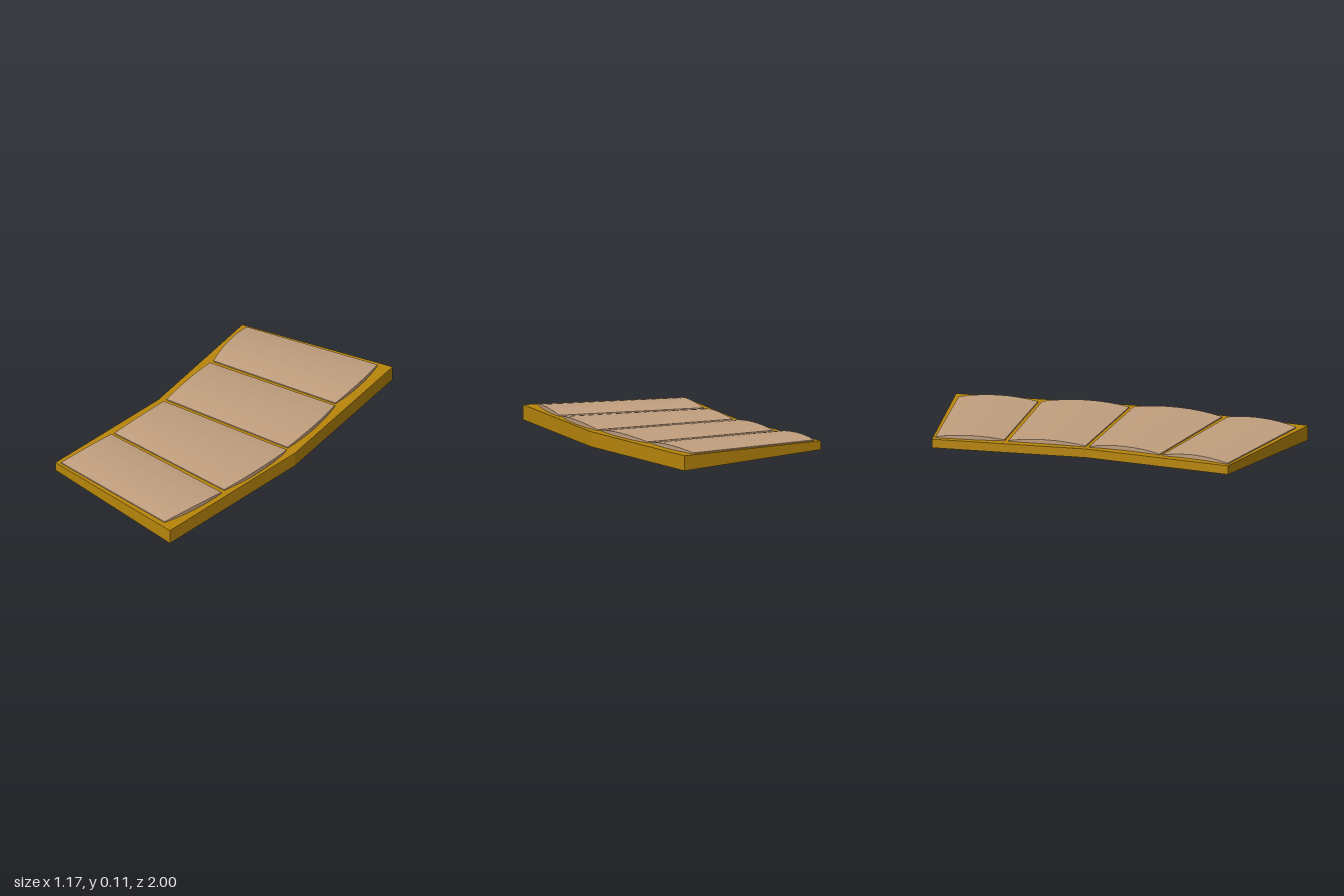
import * as THREE from 'three';

const TOP = 0.083;      // deck height
const EDGE = 0.089;     // panel height at its seams
const CROWN = 0.106;    // panel height at the middle
const SEGMENTS = 8;

const baseMaterial = new THREE.MeshStandardMaterial({ color: 0xb8860b });
const panelMaterial = new THREE.MeshStandardMaterial({ color: 0xc19f7e, flatShading: true });

// Bent slab, thinner along its -x side
function createBase() {
  const outline = [[-0.335, -0.975], [-0.385, -0.11], [-0.583, 0.705],
    [0.285, 0.998], [0.52, 0], [0.583, -1]];
  const shape = new THREE.Shape(outline.map(([x, z]) => new THREE.Vector2(x, -z)));
  const geometry = new THREE.ExtrudeGeometry(shape, { depth: TOP, bevelEnabled: false });
  geometry.rotateX(-Math.PI / 2);
  const p = geometry.attributes.position;
  for (let i = 0; i < p.count; i++) {
    if (p.getX(i) < 0 && p.getY(i) < 0.01) p.setY(i, 0.034);
  }
  geometry.computeVertexNormals();
  const mesh = new THREE.Mesh(geometry, baseMaterial);
  mesh.name = 'base';
  return mesh;
}

// Arched panel lofted from its back seam to its front seam; both sides bow in x
function createPanel({ back, front, bow }) {
  const positions = [];
  const index = [];
  const mix = THREE.MathUtils.lerp;
  for (let i = 0; i <= SEGMENTS; i++) {
    const t = i / SEGMENTS;
    const arch = 4 * t * (1 - t);
    const y = mix(EDGE, CROWN, arch);
    const [l, r] = [0, 1].map((s) => [
      mix(back[s][0], front[s][0], t) + bow[s] * arch,
      mix(back[s][1], front[s][1], t),
    ]);
    positions.push(l[0], TOP - 0.005, l[1], l[0], y, l[1],
      r[0], y, r[1], r[0], TOP - 0.005, r[1]);
  }
  for (let i = 0; i < SEGMENTS; i++) {
    for (let k = 0; k < 4; k++) {
      const a = i * 4 + k;
      const d = i * 4 + (k + 1) % 4;
      index.push(a, a + 4, d + 4, a, d + 4, d);
    }
  }
  const e = SEGMENTS * 4;
  index.push(0, 1, 2, 0, 2, 3, e, e + 2, e + 1, e, e + 3, e + 2);
  const indexed = new THREE.BufferGeometry();
  indexed.setAttribute('position', new THREE.Float32BufferAttribute(positions, 3));
  indexed.setIndex(index);
  const geometry = indexed.toNonIndexed();
  geometry.computeVertexNormals();
  return new THREE.Mesh(geometry, panelMaterial);
}

export function createModel() {
  const group = new THREE.Group();
  group.name = 'bentPanelSlab';
  group.add(createBase());

  // Seam ends as [x, z], -x end first
  const panels = [
    { back: [[-0.3, -0.96], [0.505, -0.972]], front: [[-0.3, -0.58], [0.483, -0.53]], bow: [-0.008, 0.02] },
    { back: [[-0.308, -0.555], [0.492, -0.508]], front: [[-0.345, -0.125], [0.462, -0.022]], bow: [0.005, 0.022] },
    { back: [[-0.348, -0.102], [0.47, 0.003]], front: [[-0.435, 0.302], [0.357, 0.51]], bow: [0.014, 0.026] },
    { back: [[-0.445, 0.32], [0.357, 0.54]], front: [[-0.552, 0.697], [0.222, 0.943]], bow: [0.015, 0.018] },
  ];
  panels.forEach((spec, i) => {
    const panel = createPanel(spec);
    panel.name = `archedPanel${i + 1}`;
    group.add(panel);
  });
  return group;
}
